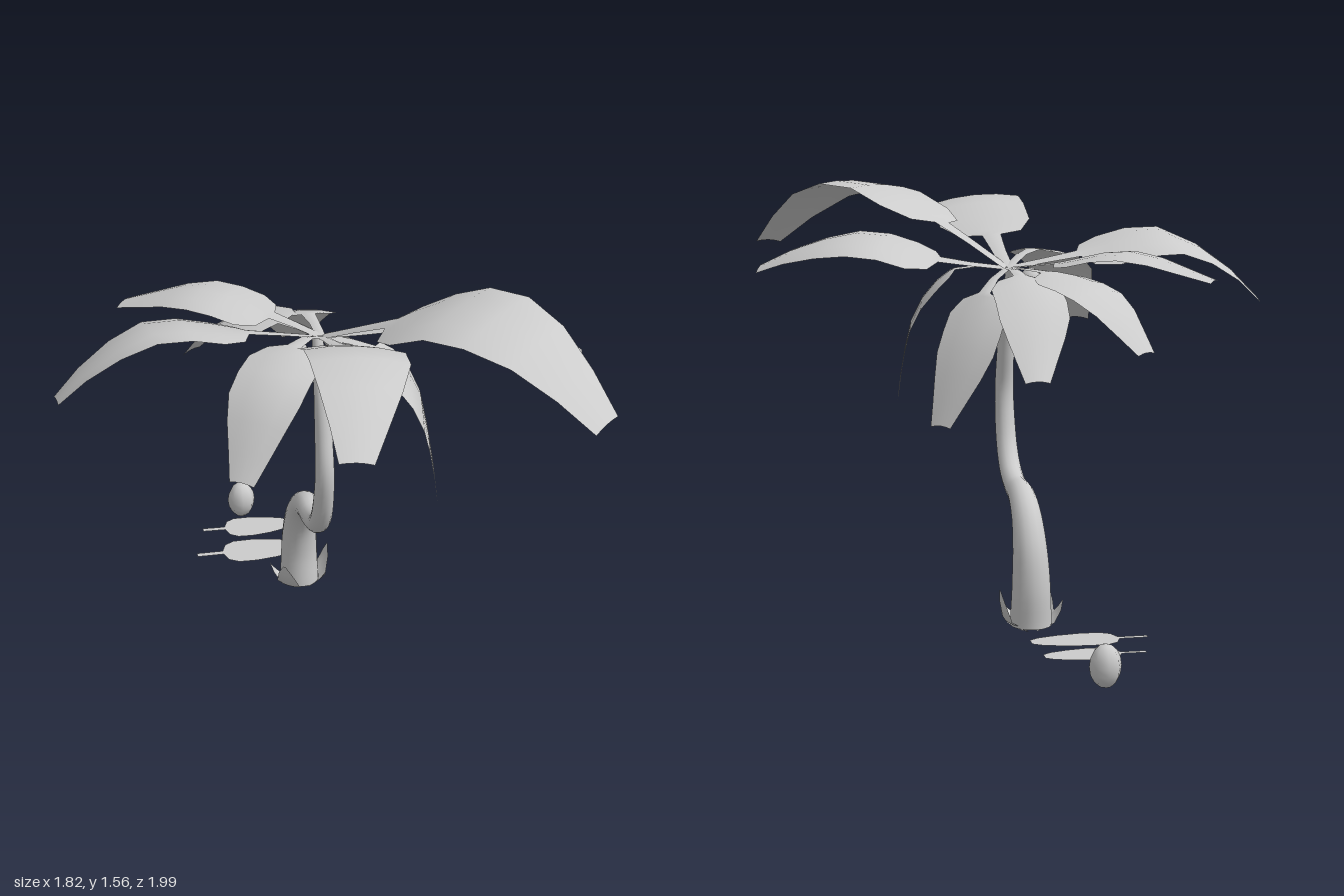
import * as THREE from 'three';

const mat = new THREE.MeshStandardMaterial({ color: 0xcccccc });
const leafMat = new THREE.MeshStandardMaterial({ color: 0xcccccc, side: THREE.DoubleSide });
const UP = new THREE.Vector3(0, 1, 0);
const V = (p) => new THREE.Vector3(...p);

// Half-width profiles: [position along spine, fraction of widest half width]
const FROND = [[0, 0.13], [0.14, 0.15], [0.26, 0.2], [0.29, 0.68], [0.37, 0.98], [0.48, 1], [0.6, 0.98], [0.73, 0.8], [0.87, 0.56], [1, 0.34]];
const FALLEN = [[0, 0.15], [0.25, 0.15], [0.29, 0.7], [0.38, 0.98], [0.55, 1], [0.75, 0.85], [0.92, 0.6], [1, 0.3]];
const HUSK = [[0, 0.7], [0.4, 1], [0.75, 0.6], [1, 0.08]];

function piecewise(table, t) {
  for (let i = 1; i < table.length; i++) {
    const [t0, v0] = table[i - 1], [t1, v1] = table[i];
    if (t <= t1) return v0 + ((v1 - v0) * (t - t0)) / (t1 - t0);
  }
  return table[table.length - 1][1];
}

// Thin blade swept along a spine: droop lowers both edges, roll tips it sideways, yaw turns its width
function blade(name, spine, halfWidth, profile, { droop = 0, roll = 0, yaw = 0 } = {}) {
  const curve = new THREE.CatmullRomCurve3(spine.map(V));
  const first = V(spine[0]), last = V(spine[spine.length - 1]);
  const side = new THREE.Vector3(-(last.z - first.z), 0, last.x - first.x).normalize();
  side.applyAxisAngle(UP, THREE.MathUtils.degToRad(yaw));
  const pos = [], index = [], cols = 5;
  profile.forEach(([t, w], r) => {
    const p = curve.getPointAt(t);
    for (let c = 0; c < cols; c++) {
      const s = (c / (cols - 1)) * 2 - 1;
      const q = p.clone().addScaledVector(side, s * w * halfWidth);
      pos.push(q.x, q.y + w * (roll * s - droop * s * s), q.z);
      if (r && c) {
        const d = r * cols + c, b = d - cols;
        index.push(b - 1, b, d, b - 1, d, d - 1);
      }
    }
  });
  const geo = new THREE.BufferGeometry();
  geo.setAttribute('position', new THREE.Float32BufferAttribute(pos, 3));
  geo.setIndex(index);
  geo.computeVertexNormals();
  const mesh = new THREE.Mesh(geo, leafMat);
  mesh.name = name;
  return mesh;
}

// S-shaped trunk, tapering towards the crown
function makeTrunk() {
  const path = [[0.06, -0.335], [0.2, -0.342], [0.33, -0.318], [0.43, -0.255], [0.485, -0.16], [0.497, -0.05], [0.535, 0.05],
    [0.61, 0.12], [0.72, 0.163], [0.82, 0.175], [0.95, 0.15], [1.08, 0.115], [1.2, 0.06], [1.285, 0.03]];
  const radii = [[0, 0.075], [0.12, 0.067], [0.25, 0.054], [0.4, 0.041], [0.6, 0.037], [0.8, 0.031], [1, 0.02]];
  const curve = new THREE.CatmullRomCurve3(path.map(([y, z]) => new THREE.Vector3(0.015, y, z)));
  const rows = 48, sides = 16;
  const geo = new THREE.TubeGeometry(curve, rows, 1, sides);
  const pos = geo.attributes.position, v = new THREE.Vector3();
  for (let i = 0; i < pos.count; i++) {
    const t = Math.floor(i / (sides + 1)) / rows;
    const centre = curve.getPointAt(t);
    v.fromBufferAttribute(pos, i).sub(centre).multiplyScalar(piecewise(radii, t)).add(centre);
    pos.setXYZ(i, v.x, v.y, v.z);
  }
  const group = new THREE.Group();
  group.name = 'trunk';
  const stem = new THREE.Mesh(geo, mat);
  stem.name = 'trunkStem';
  const cap = new THREE.Mesh(new THREE.CircleGeometry(0.075, sides), mat);
  cap.name = 'trunkBase';
  cap.rotation.x = Math.PI / 2;
  cap.position.set(0.015, 0.06, -0.335);
  group.add(stem, cap);
  return group;
}

function nut(name, x, y, z, r, h) {
  const mesh = new THREE.Mesh(new THREE.SphereGeometry(1, 8, 8), mat);
  mesh.name = name;
  mesh.scale.set(r, h, r);
  mesh.position.set(x, y, z);
  return mesh;
}

export function createModel() {
  const model = new THREE.Group();
  model.name = 'palmTree';
  model.add(makeTrunk());

  // Crown: spine points after the shared root, half width, and tilt
  const root = [0.03, 1.28, 0.03];
  const fronds = [
    [[[-0.25, 1.33, 0.04], [-0.56, 1.385, 0.06], [-0.78, 1.275, 0.08], [-0.91, 1.15, 0.085]], 0.165, { roll: -0.035 }],
    [[[-0.12, 1.31, -0.11], [-0.35, 1.36, -0.25], [-0.62, 1.27, -0.4]], 0.135],
    [[[-0.09, 1.28, -0.13], [-0.24, 1.22, -0.31], [-0.37, 1.03, -0.44]], 0.14],
    [[[-0.07, 1.33, 0.15], [-0.22, 1.27, 0.36], [-0.34, 1.02, 0.55]], 0.135],
    [[[0.04, 1.37, 0.28], [0.05, 1.49, 0.58], [0.01, 1.43, 0.8], [-0.04, 1.31, 0.99]], 0.17, { roll: 0.015 }],
    [[[0.22, 1.42, 0.25], [0.45, 1.56, 0.48], [0.64, 1.5, 0.68], [0.81, 1.305, 0.88]], 0.2, { roll: -0.02 }],
    [[[0.26, 1.31, 0.08], [0.53, 1.385, 0.13], [0.75, 1.34, 0.22], [0.895, 1.27, 0.3]], 0.165, { roll: 0.03 }],
    [[[0.02, 1.28, -0.15], [0.01, 1.2, -0.35], [0.045, 0.97, -0.61]], 0.125],
    [[[0.12, 1.23, -0.08], [0.2, 1.09, -0.19], [0.26, 0.94, -0.25], [0.325, 0.77, -0.285]], 0.12],
    [[[0.2, 1.27, 0.14], [0.33, 1.13, 0.2], [0.375, 0.95, 0.25], [0.39, 0.77, 0.31]], 0.16, { yaw: 28 }],
  ];
  const crown = new THREE.Group();
  crown.name = 'crown';
  fronds.forEach(([pts, w, tilt], i) => crown.add(blade(`frond${i + 1}`, [root, ...pts], w, FROND, { droop: 0.02, ...tilt })));
  model.add(crown);

  // Nuts under the crown and one on the ground
  model.add(
    nut('hangingNut1', -0.065, 1.145, 0.07, 0.046, 0.055),
    nut('hangingNut2', -0.058, 1.225, 0.05, 0.04, 0.05),
    nut('hangingNut3', -0.01, 1.16, 0.015, 0.036, 0.045),
    nut('fallenNut', -0.115, 0.075, -0.945, 0.055, 0.075),
  );

  // Flat leaves lying behind the trunk
  model.add(
    blade('fallenLeaf1', [[-0.35, 0.06, -0.57], [-0.15, 0.06, -0.57], [0.06, 0.06, -0.57]], 0.08, FALLEN),
    blade('fallenLeaf2', [[-0.3, 0.06, -0.755], [-0.13, 0.06, -0.75], [0.05, 0.06, -0.75]], 0.072, FALLEN),
  );

  // Pointed husk flaps cupping the foot of the trunk
  const husk = new THREE.Group();
  husk.name = 'footHusk';
  [[100, 0.19], [55, 0.12], [-40, 0.17], [-90, 0.14]].forEach(([deg, top], i) => {
    const a = THREE.MathUtils.degToRad(deg);
    const at = (r, y) => [0.015 + r * Math.sin(a), y, -0.335 + r * Math.cos(a)];
    husk.add(blade(`huskFlap${i + 1}`, [at(0.02, 0.035), at(0.085, 0.07), at(0.115, top)], 0.05, HUSK, { droop: -0.01 }));
  });
  model.add(husk);
  return model;
}
